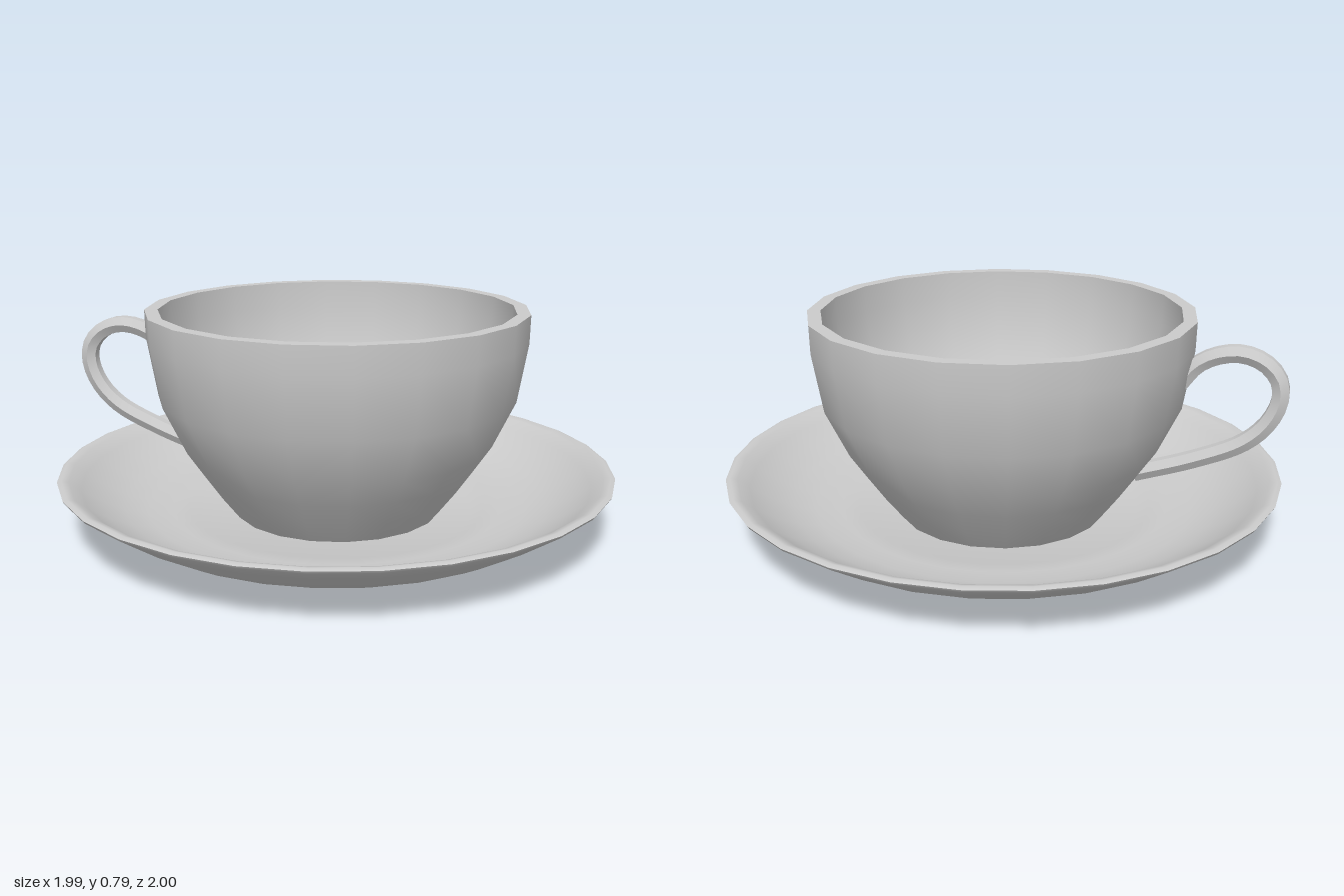
import * as THREE from 'three';
import { toCreasedNormals } from 'three/addons/utils/BufferGeometryUtils.js';

const material = new THREE.MeshStandardMaterial({ color: 0xcccccc });

// Turned solid: profile runs from the underside, up the outside, and back in over the top
function turned(name, profile, sides) {
  const points = profile.map(([r, y]) => new THREE.Vector2(r, y));
  const geometry = toCreasedNormals(new THREE.LatheGeometry(points, sides), 0.7);
  const mesh = new THREE.Mesh(geometry, material);
  mesh.name = name;
  return mesh;
}

export function createModel() {
  const model = new THREE.Group();
  model.name = 'cupAndSaucer';

  // Saucer: shallow foot ring, flared side, thin lip and a recessed well
  model.add(turned('saucer', [
    [0, 0.02], [0.5, 0.02], [0.54, 0.004], [0.57, 0], [0.62, 0.008], [0.69, 0.026],
    [0.77, 0.06], [0.85, 0.105], [0.93, 0.16], [0.995, 0.205],
    [1, 0.214], [0.985, 0.22], [0.96, 0.212], [0.92, 0.18], [0.85, 0.133],
    [0.77, 0.095], [0.69, 0.073], [0.6, 0.064], [0.54, 0.06], [0.5, 0.046], [0, 0.046],
  ], 30));

  // Cup with its handle, turned slightly on the saucer
  const cup = new THREE.Group();
  cup.name = 'cup';
  cup.rotation.y = 0.05;
  cup.position.z = -0.015;
  model.add(cup);

  // Bowl: outer wall, flat rim, inner wall and floor
  cup.add(turned('bowl', [
    [0, 0.047], [0.38, 0.047], [0.44, 0.125], [0.505, 0.22], [0.565, 0.31], [0.645, 0.48],
    [0.68, 0.69], [0.682, 0.79],
    [0.635, 0.79], [0.633, 0.69], [0.6, 0.49], [0.525, 0.33], [0.46, 0.235],
    [0.4, 0.155], [0.35, 0.1], [0, 0.1],
  ], 20));

  // Handle: six-sided tube along an ear-shaped curve
  const path = new THREE.CatmullRomCurve3([
    [-0.635, 0.575], [-0.69, 0.645], [-0.76, 0.683], [-0.84, 0.693], [-0.915, 0.666],
    [-0.963, 0.61], [-0.97, 0.54], [-0.935, 0.455], [-0.86, 0.38], [-0.7, 0.303], [-0.49, 0.228],
  ].map(([x, y]) => new THREE.Vector3(x, y, 0)));
  const handle = new THREE.Mesh(
    toCreasedNormals(new THREE.TubeGeometry(path, 32, 0.033, 6), 0.7), material);
  handle.name = 'handle';
  cup.add(handle);

  return model;
}
